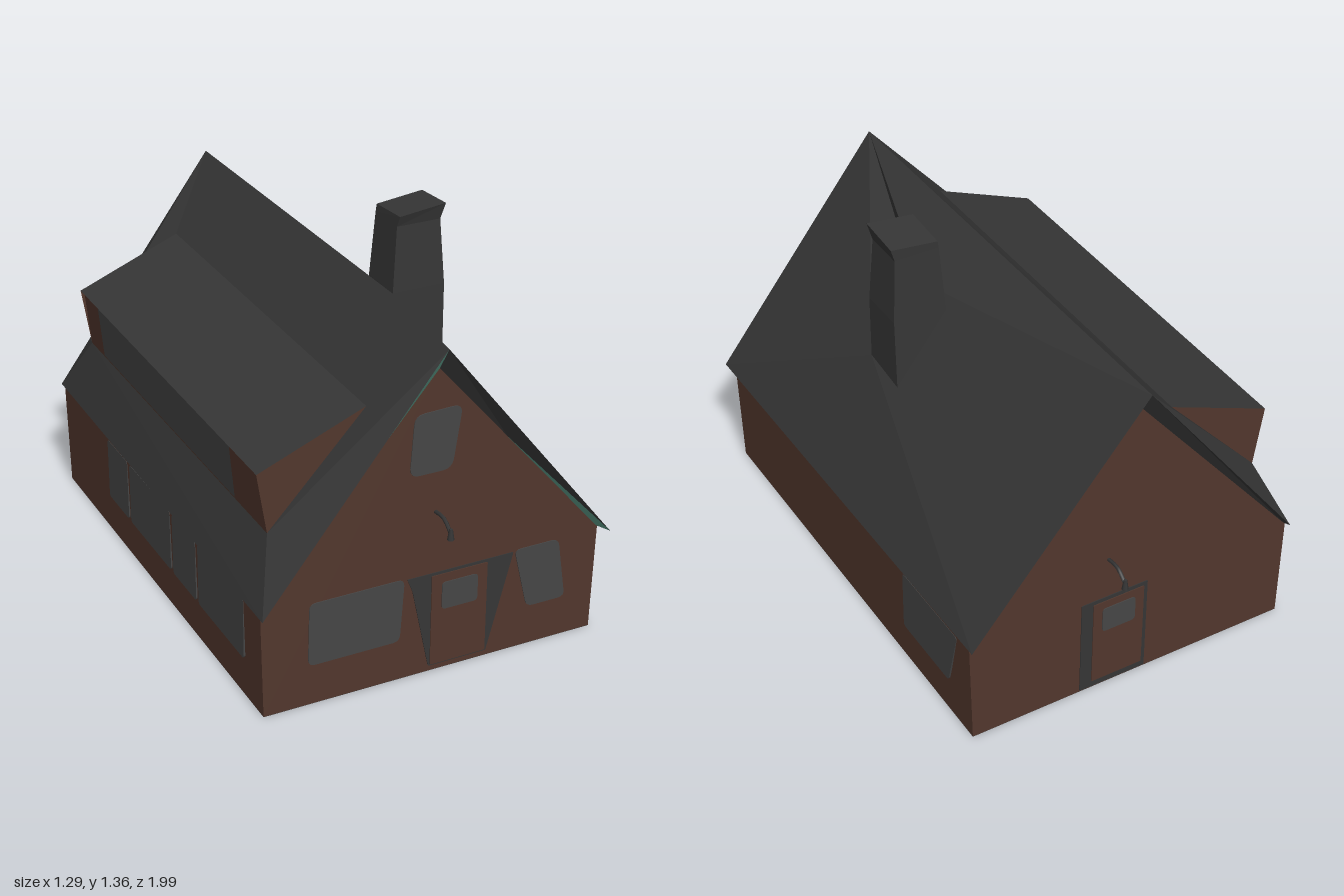
import * as THREE from 'three';

const mat = (name, color) => {
  const m = new THREE.MeshStandardMaterial({ color, side: THREE.DoubleSide });
  m.name = name;
  return m;
};

export function createModel() {
  const house = new THREE.Group();
  house.name = 'house';
  const brown = mat('brownWall', 0x52372d);
  const roofGrey = mat('roofCharcoal', 0x363636);
  const glass = mat('windowGrey', 0x464646);
  const teal = mat('tealTrim', 0x61a28f);

  const add = (name, geo, material, parent = house) => {
    const m = new THREE.Mesh(geo, material);
    m.name = name;
    parent.add(m);
    return m;
  };

  // Flat-shaded faces, each a convex loop of points
  const faces = (name, loops, material) => {
    const pos = [];
    for (const l of loops)
      for (let i = 1; i < l.length - 1; i++) pos.push(...l[0], ...l[i], ...l[i + 1]);
    const g = new THREE.BufferGeometry();
    g.setAttribute('position', new THREE.Float32BufferAttribute(pos, 3));
    g.computeVertexNormals();
    return add(name, g, material);
  };

  // Thin plate with softened corners, drawn in x/y
  const plate = (name, pts, material, r = 0.02, depth = 0.006) => {
    const s = new THREE.Shape();
    const v = pts.map(p => new THREE.Vector2(...p));
    v.forEach((p, i) => {
      const a = v[(i + v.length - 1) % v.length], b = v[(i + 1) % v.length];
      const p0 = a.clone().sub(p).setLength(r).add(p);
      const p1 = b.clone().sub(p).setLength(r).add(p);
      if (i) s.lineTo(p0.x, p0.y); else s.moveTo(p0.x, p0.y);
      s.quadraticCurveTo(p.x, p.y, p1.x, p1.y);
    });
    return add(name, new THREE.ExtrudeGeometry(s, { depth, bevelEnabled: false, curveSegments: 4 }), material);
  };
  const rect = (x0, x1, y0, y1) => [[x0, y0], [x1, y0], [x1, y1], [x0, y1]];

  // Gabled body
  const gable = new THREE.Shape([[-0.62, 0], [0.617, 0], [0.628, 0.4], [0, 1.14], [-0.628, 0.4]]
    .map(p => new THREE.Vector2(...p)));
  const body = new THREE.ExtrudeGeometry(gable, { depth: 1.76, bevelEnabled: false });
  body.translate(0, 0, -0.88);
  add('walls', body, brown);
  faces('floor', [[[-0.62, -0.001, -0.88], [0.617, -0.001, -0.88], [0.617, -0.001, 0.88], [-0.62, -0.001, 0.88]]], roofGrey);

  // Ridge ends and eave corners
  const apexF = [0, 1.22, 0.938], apexB = [0, 1.225, -0.94];
  const eaveF = s => [s * 0.645, 0.4, 0.935], eaveB = s => [s * 0.632, 0.4, -0.905];
  for (const s of [-1, 1]) {
    const wF = [s * 0.62, 0.4, 0.88], wB = [s * 0.62, 0.4, -0.88];
    faces('eave', [[eaveF(s), wF, wB, eaveB(s)]], roofGrey);
    faces('backSoffit', [[apexB, eaveB(s), wB, [0, 1.14, -0.88]]], roofGrey);
  }

  // Front gable trim: whole of one side, a tapering sliver on the other
  const innerF = [0, 1.13, 0.881], mid = [0.26, 0.825, 0.881];
  faces('gableTrimRight', [[apexF, eaveF(-1), [-0.622, 0.4, 0.881], innerF]], teal);
  faces('gableTrimUpperLeft', [[apexF, innerF, mid, eaveF(1)]], roofGrey);
  faces('gableTrimLowerLeft', [[mid, [0.622, 0.4, 0.881], eaveF(1)]], teal);

  // Left slope, swelling up to the chimney
  const crest = [0.2, 1.06, 0.19], crestLow = [0.2, 0.975, 0.19];
  const hipF = [0.4, 0.82, 0.19], hipB = [0.4, 0.8, 0.02];
  faces('leftRoof', [
    [apexF, eaveF(1), hipF], [apexF, hipF, crestLow], [apexF, crestLow, crest],
    [eaveF(1), eaveB(1), hipF], [hipF, eaveB(1), hipB],
    [apexF, crest, apexB], [crest, hipB, apexB], [hipB, eaveB(1), apexB],
  ], roofGrey);

  // Long shed dormer cross-section on the right slope
  const dz = 0.77, at = ([x, y], s) => [x, y, s * dz];
  const top = [-0.2, 0.99], lip = [-0.585, 0.835], wallTop = [-0.572, 0.835], foot = [-0.55, 0.615];

  // Right slope, folded around the dormer
  const slopes = [
    [apexF, apexB, at(top, -1), at(top, 1)],
    [eaveF(-1), at(foot, 1), at(foot, -1), eaveB(-1)],
  ];
  for (const [apex, eave, s] of [[apexF, eaveF(-1), 1], [apexB, eaveB(-1), -1]]) {
    const strip = [[apex, at(foot, s), eave], [apex, at(top, s), at(foot, s)]];
    slopes.push(...(s > 0 ? strip : strip.map(t => t.reverse())));
  }
  faces('rightRoof', slopes, roofGrey);

  faces('dormerRoof', [[at(top, 1), at(top, -1), at(lip, -1), at(lip, 1)]], roofGrey);
  faces('dormerWall', [[at(wallTop, -1), at(foot, -1), at(foot, 1), at(wallTop, 1)]], brown);
  for (const s of [-1, 1]) {
    const cheek = [at(top, s), at(lip, s), at(foot, s)];
    faces('dormerCheek', [s > 0 ? cheek : cheek.reverse()], brown);
  }
  faces('dormerWindow', [[[-0.576, 0.825, -0.62], [-0.558, 0.63, -0.62], [-0.558, 0.63, 0.54], [-0.576, 0.825, 0.54]]], glass);

  // Chimney lofted from rectangles: y, x0, x1, z0, z1, with a tilted crown
  const rings = [[0.7, 0.2, 0.4, 0, 0.19], [1.06, 0.2, 0.4, 0.012, 0.19], [1.3, 0.218, 0.385, 0.022, 0.178],
    [1.345, 0.222, 0.398, 0.022, 0.192]]
    .map(([y, a, b, c, d], i) => [[a, d], [b, d], [b, c], [a, c]]
      .map(([x, z]) => [x, y + (i === 3 ? (x > 0.3 ? 0.008 : -0.012) + (z > 0.1 ? 0.007 : -0.007) : 0), z]));
  const sides = [];
  for (let k = 0; k < 3; k++)
    for (let i = 0; i < 4; i++) {
      const j = (i + 1) % 4;
      sides.push([rings[k][i], rings[k][j], rings[k + 1][j], rings[k + 1][i]]);
    }
  faces('chimney', [...sides, rings[3]], roofGrey);

  // Front windows
  const front = (name, pts, m, r, z = 0.877) => { plate(name, pts, m, r).position.z = z; };
  front('frontWindowLarge', [[-0.46, 0.15], [-0.125, 0.15], [-0.11, 0.385], [-0.455, 0.385]], glass, 0.025);
  front('frontWindowSmall', [[0.36, 0.15], [0.51, 0.15], [0.475, 0.385], [0.305, 0.385]], glass, 0.025);
  front('atticWindow', [[-0.1, 0.76], [0.055, 0.76], [0.088, 0.985], [-0.085, 0.98]], glass, 0.035);

  // Front door with dark surround
  front('frontDoorFrame', [[-0.015, 0.02], [0.205, 0.02], [0.3, 0.38], [-0.1, 0.38], [-0.08, 0.33]], roofGrey, 0.004);
  front('frontDoor', rect(-0.01, 0.2, 0.025, 0.37), brown, 0.004, 0.88);
  front('frontDoorWindow', rect(0.028, 0.163, 0.235, 0.338), glass, 0.015, 0.883);

  // Back door, seen facing -z
  const back = (name, pts, m, r, z) => {
    const p = plate(name, pts.map(([x, y]) => [-x, y]).reverse(), m, r);
    p.rotation.y = Math.PI;
    p.position.z = -z;
  };
  back('backDoorFrame', rect(-0.06, 0.2, 0.005, 0.39), roofGrey, 0.004, 0.877);
  back('backDoor', rect(-0.045, 0.155, 0.03, 0.375), brown, 0.004, 0.88);
  back('backDoorWindow', rect(-0.01, 0.12, 0.245, 0.345), glass, 0.015, 0.883);

  // Side windows, set along z and leaning with the tapered walls
  const side = (name, s, z0, z1, skew = 0) => {
    const h = (z1 - z0) / 2;
    const p = plate(name, [[-h, 0.15], [h - skew, 0.15], [h, 0.385], [-h, 0.385]], glass, 0.015);
    p.rotation.y = s * Math.PI / 2;
    p.position.set(s * 0.623, 0, (z0 + z1) / 2);
  };
  side('leftWindow', 1, -0.8, -0.43, 0.06);
  for (const [a, b] of [[-0.44, -0.25], [-0.23, 0.14], [0.16, 0.36], [0.38, 0.75]]) side('rightWindow', -1, a, b);

  // Hooked lamps over both doors
  const lamp = (name, x, y, s) => {
    const g = new THREE.Group();
    g.name = name;
    const arm = new THREE.CatmullRomCurve3([[0.87, y], [0.935, y + 0.005], [0.985, y - 0.03]]
      .map(([z, h]) => new THREE.Vector3(x, h, s * z)));
    add('lampArm', new THREE.TubeGeometry(arm, 6, 0.007, 5), roofGrey, g);
    const shade = add('lampShade', new THREE.CylinderGeometry(0.006, 0.012, 0.04, 6), roofGrey, g);
    shade.position.set(x, y - 0.03, s * 0.982);
    house.add(g);
  };
  lamp('frontLamp', 0, 0.61, 1);
  lamp('backLamp', 0.1, 0.55, -1);

  return house;
}
